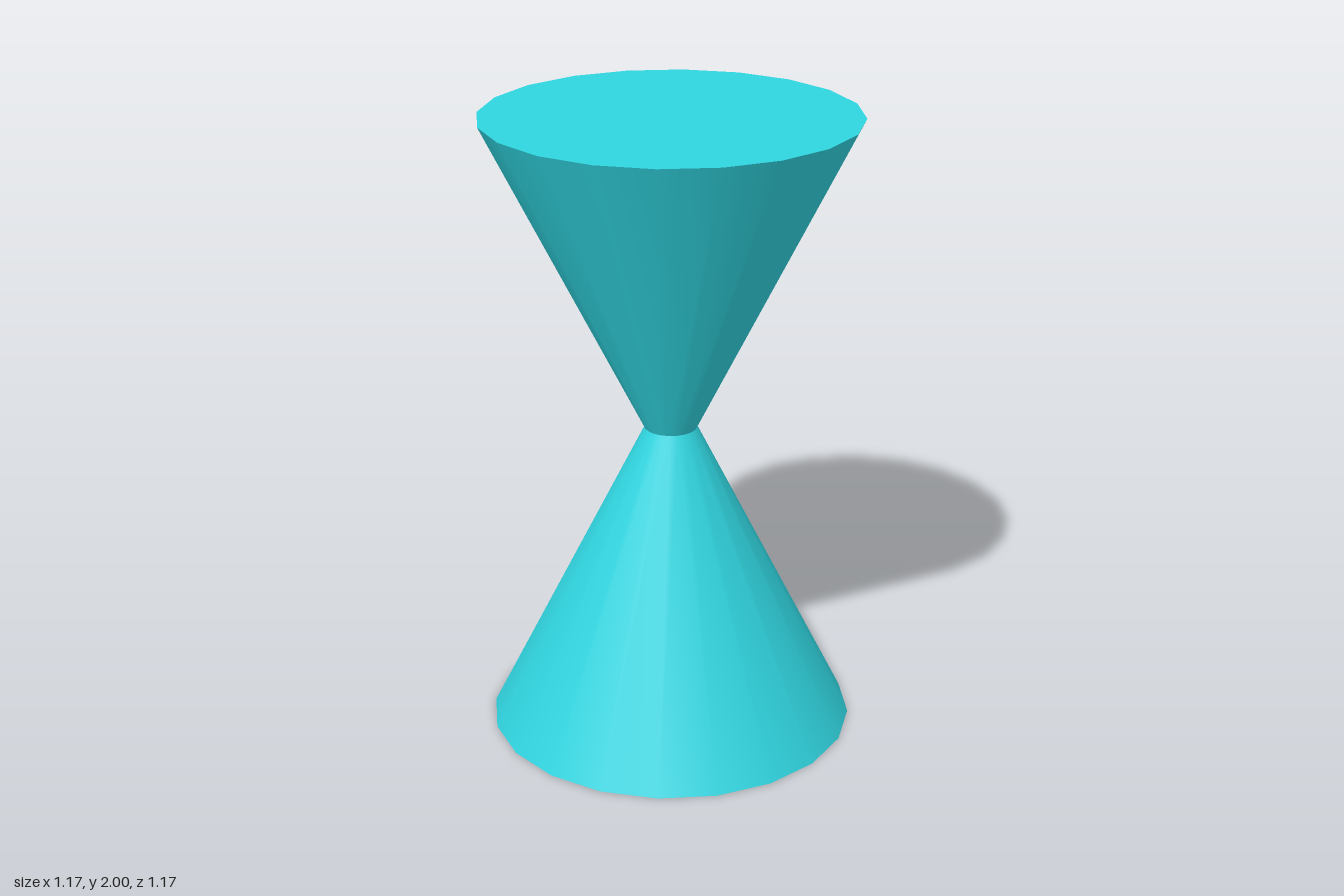
import * as THREE from 'three';

const SIDES = 20;
const RIM = 0.583;
const WAIST = 0.083;
const HALF = 1;

export function createModel() {
  const group = new THREE.Group();
  group.name = 'hourglass';
  const material = new THREE.MeshStandardMaterial({ color: 0x30d5e0 });

  // One truncated cone, smooth around its side with flat end caps
  const addCone = (name, topRadius, bottomRadius, baseY) => {
    const geometry = new THREE.CylinderGeometry(topRadius, bottomRadius, HALF, SIDES);
    const cone = new THREE.Mesh(geometry, material);
    cone.name = name;
    cone.position.y = baseY + HALF / 2;
    group.add(cone);
  };

  // Two mirrored cones meeting at the narrow waist
  addCone('lowerCone', WAIST, RIM, 0);
  addCone('upperCone', RIM, WAIST, HALF);

  return group;
}
